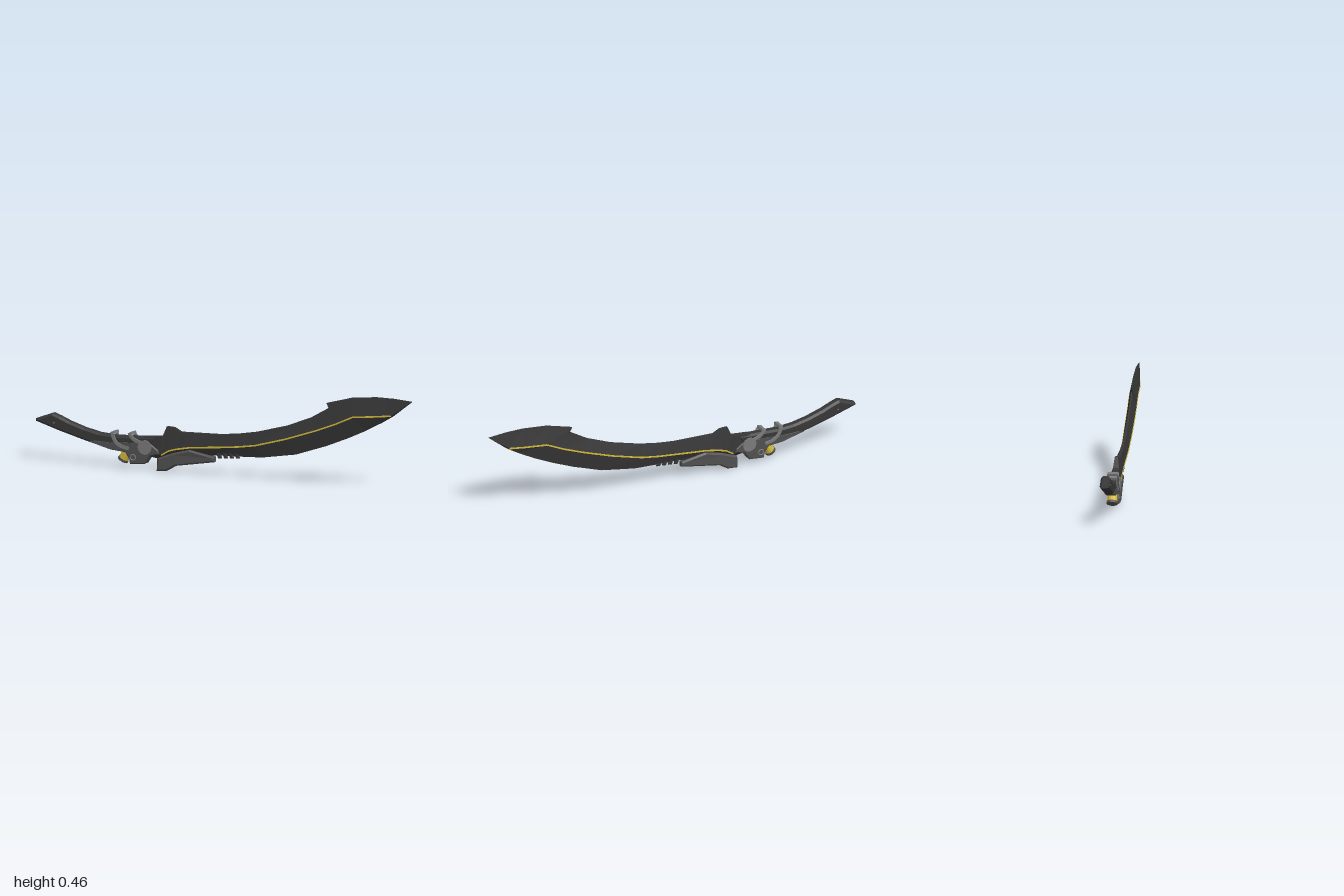
import * as THREE from 'three';

const mat = (name, color, side = THREE.FrontSide) => {
  const m = new THREE.MeshStandardMaterial({ color, side, flatShading: true });
  m.name = name;
  return m;
};

// closed rings running along +x, joined by flat faces and capped at both ends
function loft(rings) {
  const n = rings[0].length, pos = [];
  const tri = (...pts) => pts.forEach(p => pos.push(...p));
  for (let i = 0; i < rings.length - 1; i++) {
    for (let j = 0; j < n; j++) {
      const k = (j + 1) % n, a = rings[i], b = rings[i + 1];
      tri(a[j], a[k], b[j]);
      tri(b[j], a[k], b[k]);
    }
  }
  const first = rings[0], last = rings[rings.length - 1];
  for (let j = 1; j < n - 1; j++) {
    tri(first[0], first[j + 1], first[j]);
    tri(last[0], last[j], last[j + 1]);
  }
  const g = new THREE.BufferGeometry();
  g.setAttribute('position', new THREE.Float32BufferAttribute(pos, 3));
  g.computeVertexNormals();
  return g;
}

// bevelled plate, centred on z = 0
function plate(points, half, bevel = 0.004) {
  const shape = new THREE.Shape(points.map(p => new THREE.Vector2(...p)));
  const g = new THREE.ExtrudeGeometry(shape, {
    depth: 2 * (half - bevel), bevelEnabled: bevel > 0, bevelThickness: bevel,
    bevelSize: bevel, bevelOffset: -bevel, bevelSegments: 1,
  });
  return g.translate(0, 0, -(half - bevel));
}

// outline of a band following a curve
function band(points, width) {
  const curve = new THREE.CatmullRomCurve3(points.map(p => new THREE.Vector3(p[0], p[1], 0)));
  const upper = [], lower = [];
  for (let i = 0; i <= 10; i++) {
    const p = curve.getPoint(i / 10), t = curve.getTangent(i / 10);
    const w = width / 2;
    upper.push([p.x - t.y * w, p.y + t.x * w]);
    lower.unshift([p.x + t.y * w, p.y - t.x * w]);
  }
  return [...lower, ...upper];
}

export function createModel() {
  const model = new THREE.Group();
  model.name = 'curvedSword';
  const dark = mat('dark steel', 0x373737);
  const grey = mat('guard grey', 0x505050);
  const light = mat('clasp grey', 0x7a7a7a);
  const gold = mat('gold', 0xd2b93a, THREE.DoubleSide);
  const add = (name, geometry, material) => {
    const m = new THREE.Mesh(geometry, material);
    m.name = name;
    model.add(m);
    return m;
  };

  // blade stations: spine x, y; ridge x, y; edge x, y; spine half, ridge half
  const stations = [
    [-0.42, 0.168, -0.42, 0.09, -0.40, 0.07, 0.018, 0.021],
    [-0.325, 0.178, -0.33, 0.085, -0.33, 0.06, 0.015, 0.021],
    [-0.305, 0.228, -0.29, 0.11, -0.29, 0.07, 0.008, 0.021],
    [-0.265, 0.226, -0.25, 0.122, -0.25, 0.08, 0.008, 0.021],
    [-0.23, 0.206, -0.18, 0.135, -0.18, 0.09, 0.01, 0.02],
    [-0.02, 0.212, -0.02, 0.15, -0.03, 0.107, 0.008, 0.018],
    [0.07, 0.222, 0.075, 0.16, 0.07, 0.109, 0.007, 0.018],
    [0.17, 0.24, 0.17, 0.175, 0.2, 0.115, 0.006, 0.019],
    [0.33, 0.284, 0.33, 0.22, 0.38, 0.145, 0.005, 0.021],
    [0.46, 0.336, 0.49, 0.275, 0.54, 0.2, 0.004, 0.022],
    [0.555, 0.392, 0.6, 0.318, 0.65, 0.246, 0.003, 0.022],
    [0.542, 0.415, 0.625, 0.33, 0.67, 0.255, 0.002, 0.022],
    [0.68, 0.453, 0.69, 0.36, 0.75, 0.293, 0.002, 0.022],
    [0.81, 0.466, 0.81, 0.372, 0.84, 0.342, 0.002, 0.019],
    [0.9, 0.466, 0.89, 0.381, 0.9, 0.379, 0.001, 0.013],
    [0.998, 0.459, 0.998, 0.458, 0.998, 0.457, 0.0005, 0.0007],
  ];
  add('blade', loft(stations.map(([sx, sy, rx, ry, ex, ey, s, r]) => [
    [sx, sy, s], [rx, ry, r], [ex, ey, 0.001], [ex, ey, -0.001], [rx, ry, -r], [sx, sy, -s],
  ])), dark);

  // gold inlay along the ridge on both faces
  for (const side of [1, -1]) {
    const rings = stations.slice(1, -1).map(([, , x, y, , , , r]) => {
      const z = r + 0.0012, w = 0.004;
      return [[x, y + w, side * z], [x, y - w, side * z], [x, y - w, side * (r - 0.001)], [x, y + w, side * (r - 0.001)]];
    });
    add('goldInlay', loft(rings), gold);
  }

  // slanted teeth near the root of the edge
  for (let i = 0; i < 4; i++) {
    const x = -0.045 + i * 0.032;
    add('edgeTooth', plate([[x, 0.125], [x + 0.012, 0.09 + i * 0.003],
      [x + 0.03, 0.092 + i * 0.003], [x + 0.02, 0.125]], 0.006, 0.002), dark);
  }

  // handle with slanted pommel
  add('handle', plate([[-1, 0.2], [-0.87, 0.16], [-0.71, 0.117], [-0.58, 0.095], [-0.4, 0.085],
    [-0.36, 0.17], [-0.42, 0.169], [-0.58, 0.162], [-0.66, 0.168], [-0.74, 0.185], [-0.82, 0.21],
    [-0.87, 0.231], [-0.91, 0.245], [-0.998, 0.212]], 0.023, 0.01), dark);
  for (const side of [1, -1]) {
    const pin = add('pommelPin', new THREE.CylinderGeometry(0.004, 0.004, 0.002, 8).rotateX(Math.PI / 2), light);
    pin.position.set(-0.9, 0.2, side * 0.0235);
  }

  // grey collar tapering onto the handle, and the guard block
  add('handleCollar', plate([[-0.715, 0.122], [-0.6, 0.092], [-0.52, 0.085], [-0.5, 0.14],
    [-0.57, 0.128], [-0.68, 0.131]], 0.0245, 0.003), grey);
  add('guardBlock', plate([[-0.56, 0.118], [-0.525, 0.085], [-0.5, 0.055], [-0.495, 0.028],
    [-0.415, 0.036], [-0.39, 0.075], [-0.34, 0.09], [-0.345, 0.108], [-0.39, 0.14], [-0.47, 0.14]], 0.0255, 0.005), grey);

  // lower guard, narrowing toward the blade
  const lower = plate([[-0.355, 0.005], [-0.352, 0.068], [-0.27, 0.1], [-0.18, 0.124], [-0.05, 0.097],
    [-0.05, 0.072], [-0.255, 0.038], [-0.3, 0.01]], 0.024, 0.008);
  const p = lower.attributes.position;
  for (let i = 0; i < p.count; i++) {
    const t = THREE.MathUtils.clamp((p.getX(i) + 0.18) / 0.13, 0, 1);
    p.setZ(i, p.getZ(i) * (1 - 0.4 * t));
  }
  lower.computeVertexNormals();
  add('lowerGuard', lower, grey);

  // curved clasps: an arm on each side and a bar across the top
  const clasps = [
    [[-0.588, 0.176], [-0.575, 0.14], [-0.545, 0.115], [-0.5, 0.105]],
    [[-0.495, 0.178], [-0.476, 0.155], [-0.445, 0.142], [-0.41, 0.125]],
  ];
  for (const path of clasps) {
    for (const side of [1, -1]) {
      add('claspArm', plate(band(path, 0.018), 0.003, 0.001).translate(0, 0, side * 0.0255), light);
    }
    const bar = add('claspBar', new THREE.BoxGeometry(0.022, 0.012, 0.053), light);
    bar.position.set(path[0][0] + 0.002, path[0][1], 0);
    bar.rotation.z = 0.3;
  }

  // pivot disc and small lower ring
  const disc = add('pivotDisc', new THREE.CylinderGeometry(0.036, 0.036, 0.058, 16).rotateX(Math.PI / 2), light);
  disc.position.set(-0.415, 0.118, 0);
  for (const side of [1, -1]) {
    const ring = add('smallRing', new THREE.TorusGeometry(0.014, 0.003, 6, 16), light);
    ring.position.set(-0.478, 0.063, side * 0.0255);
  }

  // tilted gold cylinder with grey end cap
  const canister = new THREE.Group();
  canister.name = 'canister';
  const body = new THREE.Mesh(new THREE.CylinderGeometry(0.025, 0.025, 0.075, 14), gold);
  body.name = 'goldCylinder';
  const cap = new THREE.Mesh(new THREE.CylinderGeometry(0.027, 0.027, 0.012, 14), grey);
  cap.name = 'cylinderCap';
  cap.position.y = -0.038;
  canister.add(body, cap);
  canister.position.set(-0.52, 0.078, 0);
  canister.rotation.z = -0.55;
  model.add(canister);

  return model;
}
